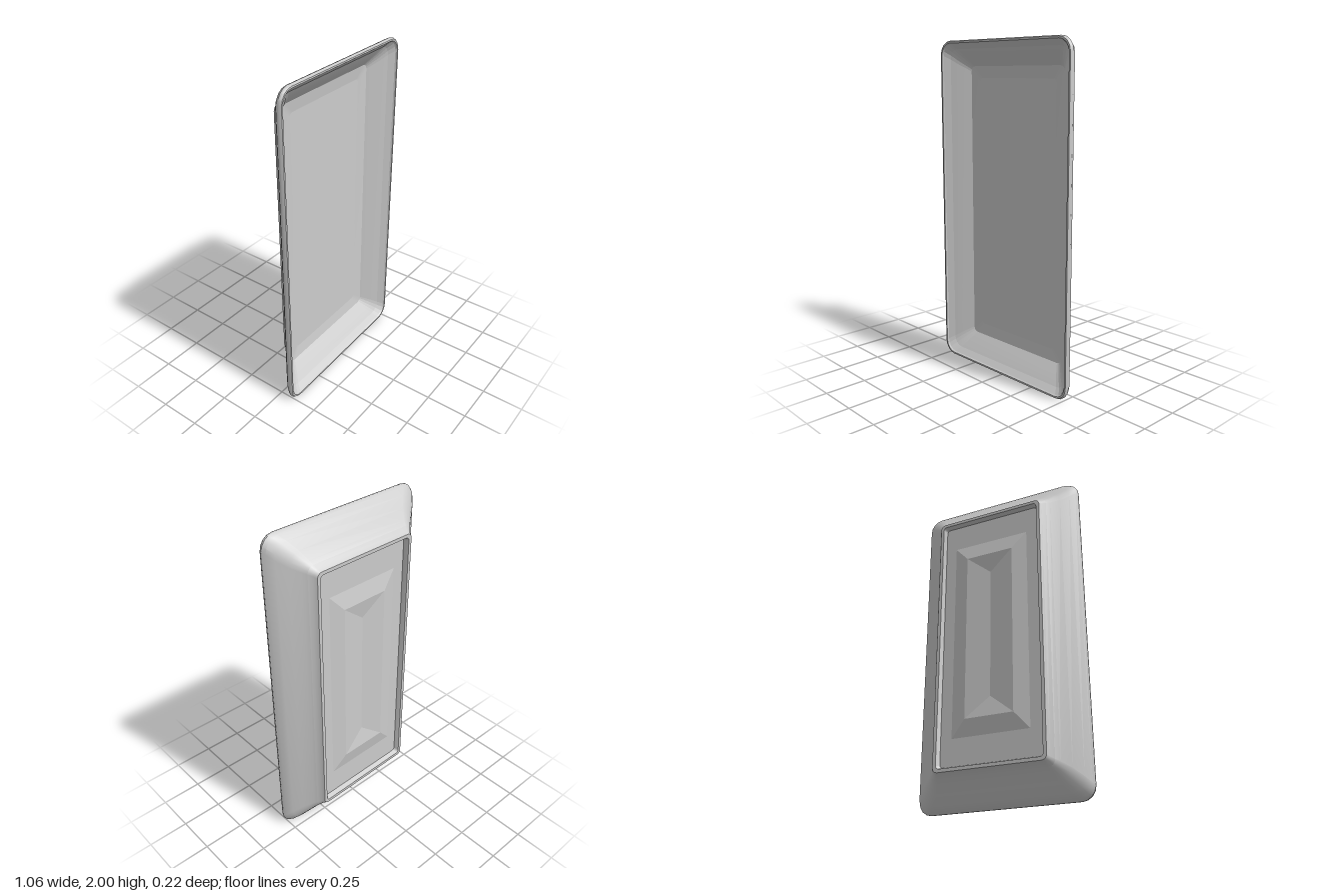
import * as THREE from 'three';
import { toCreasedNormals } from 'three/addons/utils/BufferGeometryUtils.js';

const HALF_W = 0.53, HALF_H = 1, CORNER_STEPS = 4;

// Rounded rectangle inset from the rim; slightly warped in z
function ring([inset, z, radius, insetY = inset]) {
  const w = HALF_W - inset, h = HALF_H - insetY;
  const r = Math.min(radius, w, h);
  const points = [];
  [[1, 1], [-1, 1], [-1, -1], [1, -1]].forEach(([sx, sy], corner) => {
    for (let i = 0; i <= CORNER_STEPS; i++) {
      const a = (corner + i / CORNER_STEPS) * Math.PI / 2;
      const x = sx * (w - r) + r * Math.cos(a);
      const y = sy * (h - r) + r * Math.sin(a);
      points.push([x, y + HALF_H, z - 0.015 * x]);
    }
  });
  return points;
}

// Surface joining successive rings: [inset, z, corner radius, inset in y if different]
function loft(name, profile, material, crease) {
  const rings = profile.map(ring);
  const n = rings[0].length;
  const index = [];
  for (let i = 0; i < rings.length - 1; i++) {
    for (let j = 0; j < n; j++) {
      const k = (j + 1) % n;
      const a = i * n + j, b = (i + 1) * n + j, c = (i + 1) * n + k, d = i * n + k;
      index.push(a, b, c, a, c, d);
    }
  }
  const geometry = new THREE.BufferGeometry();
  geometry.setAttribute('position', new THREE.Float32BufferAttribute(rings.flat(2), 3));
  geometry.setIndex(index);
  const mesh = new THREE.Mesh(toCreasedNormals(geometry, crease), material);
  mesh.name = name;
  return mesh;
}

export function createModel() {
  const group = new THREE.Group();
  group.name = 'tray';
  const material = new THREE.MeshStandardMaterial({ color: 0xcccccc, side: THREE.DoubleSide });

  group.add(
    // Flat floor with a gently sloping border, then the inside walls
    loft('bowl', [
      [0.53, -0.03, 0], [0.22, -0.03, 0.02], [0.15, -0.02, 0.03],
      [0.09, 0.03, 0.05], [0.05, 0.06, 0.06], [0.02, 0.09, 0.07],
    ], material, 0.1),
    // Narrow rounded lip
    loft('rim', [
      [0.02, 0.09, 0.07], [0.015, 0.1, 0.07], [0.005, 0.1, 0.08], [0, 0.09, 0.08], [0, 0.08, 0.08],
    ], material, 0.7),
    // Curved flaring outside
    loft('outerWall', [
      [0, 0.08, 0.08], [0.01, 0.06, 0.08], [0.04, 0.03, 0.08], [0.09, -0.01, 0.07],
      [0.14, -0.05, 0.05], [0.16, -0.07, 0.04],
    ], material, 0.5),
    // Raised foot around the back
    loft('footRing', [
      [0.16, -0.07, 0.04], [0.18, -0.09, 0.03], [0.19, -0.11, 0.03],
      [0.21, -0.11, 0.02], [0.22, -0.08, 0.02],
    ], material, 0.4),
    // Recessed back with a raised frame around a shallow valley
    loft('backPanel', [
      [0.22, -0.08, 0.02], [0.29, -0.08, 0, 0.38], [0.38, -0.1, 0, 0.48], [0.53, -0.08, 0, 0.6],
    ], material, 0.1),
  );
  return group;
}
